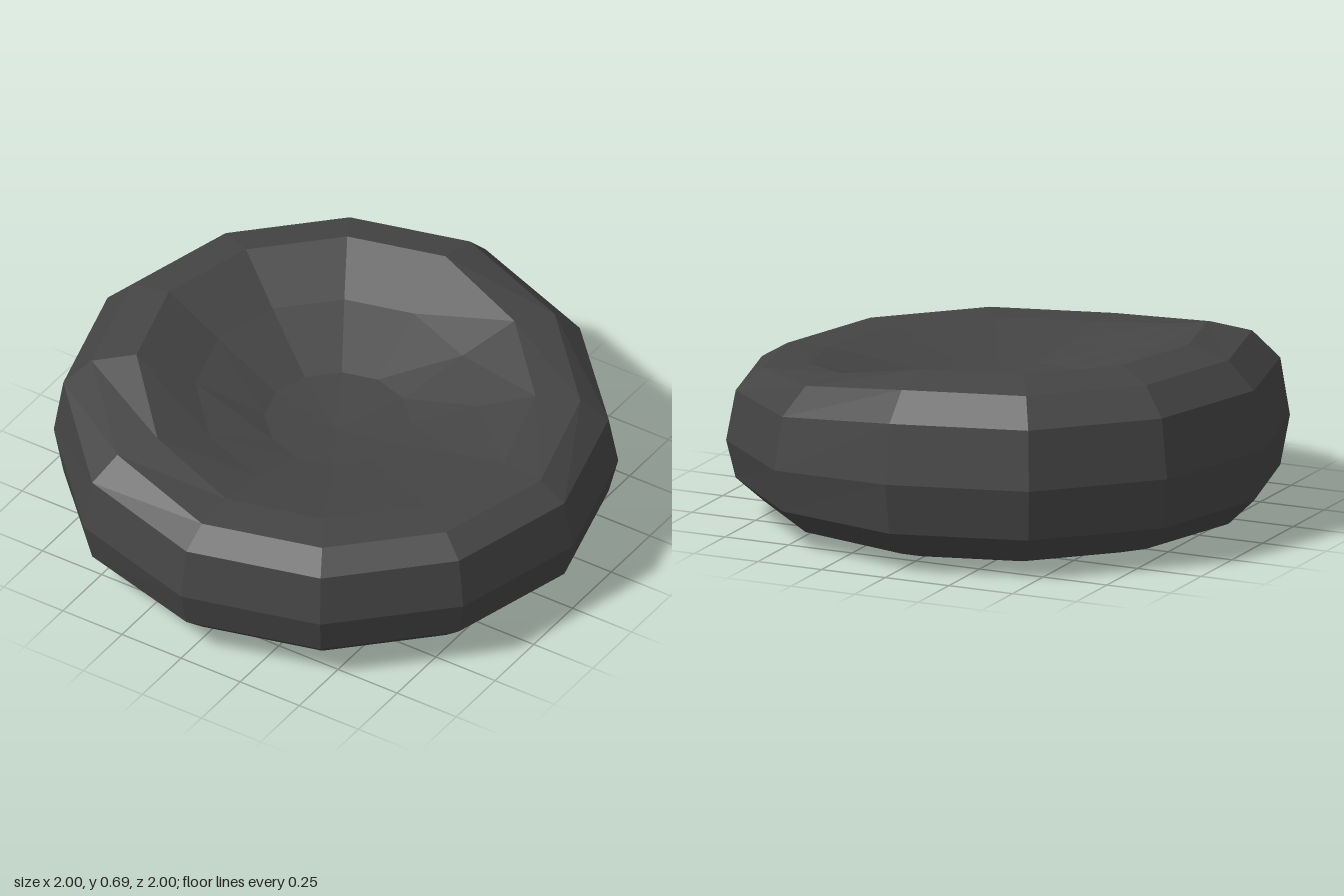
import * as THREE from 'three';

const SIDES = 12;

// How strongly the backrest bulges at each 30 degree step, starting at +x and turning towards +z
const BULGE = [0, 0, 0, 0, 0.35, 0.93, 1, 1, 1, 1, 0.54, 0.2];

// Rings from the floor up and over into the seat hollow: radius, height, backrest lift, falloff, hollow shift
const RINGS = [
  [0.5, 0, 0, 1, 0],
  [0.707, 0.007, 0, 1, 0],
  [0.866, 0.055, 0, 1, 0],
  [0.966, 0.14, 0.012, 1, 0],
  [1, 0.275, 0.065, 1.5, 0],
  [0.966, 0.455, 0.1, 1.6, 0],
  [0.866, 0.515, 0.14, 1, 0],
  [0.707, 0.522, 0.17, 1, 0],
  [0.5, 0.495, 0.085, 1, 0.2],
  [0.259, 0.465, 0.015, 1, 1],
];

function ringPoint(ring, j) {
  const [r, y, lift, falloff, shift] = ring;
  const k = j % SIDES;
  const a = (k / SIDES) * Math.PI * 2;
  return [r * Math.cos(a) + 0.04 * shift, y + lift * BULGE[k] ** falloff, r * Math.sin(a) + 0.05 * shift];
}

function beanBagGeometry() {
  const pos = [];
  const tri = (a, b, c) => pos.push(...a, ...b, ...c);
  const top = RINGS.length - 1;
  for (let j = 0; j < SIDES; j++) {
    // flat underside
    tri([0, 0, 0], ringPoint(RINGS[0], j), ringPoint(RINGS[0], j + 1));
    // padded side, rim and hollow
    for (let i = 0; i < top; i++) {
      const a = ringPoint(RINGS[i], j), b = ringPoint(RINGS[i + 1], j);
      const c = ringPoint(RINGS[i + 1], j + 1), d = ringPoint(RINGS[i], j + 1);
      tri(a, b, d);
      tri(b, c, d);
    }
    // bottom of the seat hollow
    tri(ringPoint(RINGS[top], j), [0.05, 0.45, 0.08], ringPoint(RINGS[top], j + 1));
  }
  const geo = new THREE.BufferGeometry();
  geo.setAttribute('position', new THREE.Float32BufferAttribute(pos, 3));
  geo.computeVertexNormals(); // unshared corners give flat facets
  return geo;
}

export function createModel() {
  const group = new THREE.Group();
  group.name = 'beanBag';
  const fabric = new THREE.MeshStandardMaterial({ color: 0x444444, flatShading: true });
  fabric.name = 'charcoal fabric';
  const cushion = new THREE.Mesh(beanBagGeometry(), fabric);
  cushion.name = 'cushion';
  group.add(cushion);
  return group;
}
